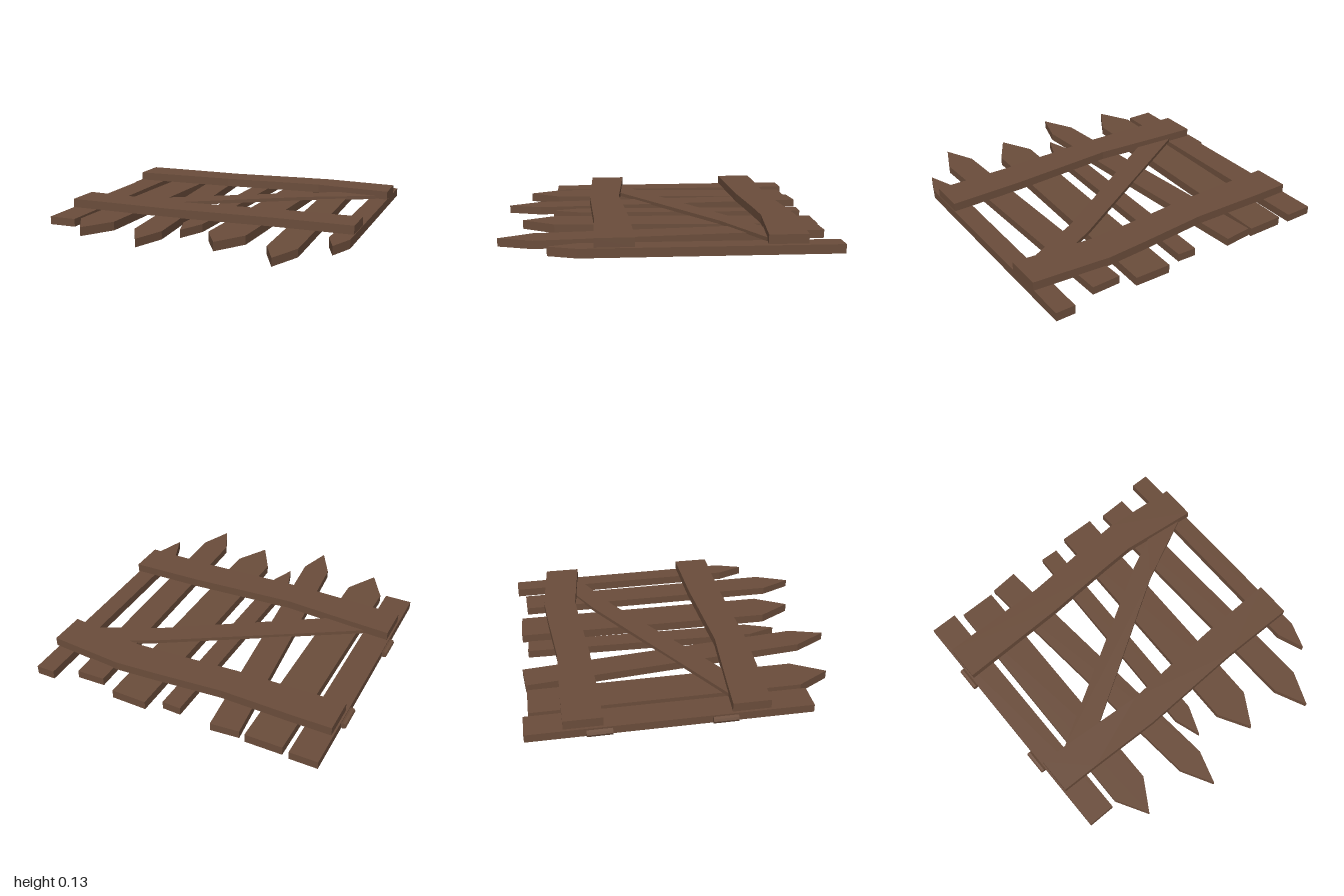
import * as THREE from 'three';

const wood = new THREE.MeshStandardMaterial({ color: 0x6b4d3b });
wood.name = 'brown wood';

// Board cut from a plan outline of [x, z] points; its underside runs from
// height backY at z = -1 to frontY at z = 1.
function board(name, outline, thickness, backY, frontY = backY) {
  const shape = new THREE.Shape(outline.map(([x, z]) => new THREE.Vector2(x, z)));
  const geo = new THREE.ExtrudeGeometry(shape, { depth: thickness, bevelEnabled: false });
  geo.rotateX(Math.PI / 2);
  const p = geo.attributes.position;
  for (let i = 0; i < p.count; i++) {
    const t = (p.getZ(i) + 1) / 2;
    p.setY(i, p.getY(i) + thickness + backY + (frontY - backY) * t);
  }
  geo.computeVertexNormals();
  const mesh = new THREE.Mesh(geo, wood);
  mesh.name = name;
  return mesh;
}

export function createModel() {
  const gate = new THREE.Group();
  gate.name = 'woodenGate';

  // Square-ended board on the hinge side
  gate.add(board('hingeBoard', [[-0.93, -1], [-0.755, -1], [-0.755, 0.69], [-0.93, 0.69]], 0.05, 0.02));

  // Pointed pickets: outline, thickness, back height, front height
  const pickets = [
    [[[-0.705, -0.97], [-0.47, -0.97], [-0.485, 0.67], [-0.605, 0.87], [-0.72, 0.67]], 0.055, 0, 0.022],
    [[[-0.44, -0.975], [-0.26, -0.99], [-0.105, 0.78], [-0.17, 0.99], [-0.28, 0.79]], 0.05, 0.02, 0.03],
    [[[-0.04, -0.95], [0.08, -0.945], [0.04, 0.51], [-0.03, 0.69], [-0.085, 0.52]], 0.05, 0.015, 0.022],
    [[[0.18, -0.985], [0.41, -0.98], [0.38, 0.67], [0.26, 0.87], [0.145, 0.67]], 0.055, 0, 0.022],
    [[[0.5, -0.94], [0.68, -0.945], [0.73, 0.78], [0.645, 0.99], [0.55, 0.79]], 0.05, 0.033, 0.01],
    [[[0.83, -1], [0.95, -1], [0.96, 0.52], [0.9, 0.69], [0.835, 0.52]], 0.055, 0.008, 0.018],
  ];
  pickets.forEach(([outline, thick, back, front], i) =>
    gate.add(board(`picket${i + 1}`, outline, thick, back, front)));

  // Slightly bent cross rails
  gate.add(board('backRail', [
    [-0.92, -0.78], [-0.68, -0.78], [-0.22, -0.77], [0.23, -0.805], [0.48, -0.82], [0.96, -0.78],
    [0.96, -0.55], [0.46, -0.605], [0.23, -0.595], [-0.22, -0.565], [-0.92, -0.55],
  ], 0.055, 0.075));
  gate.add(board('frontRail', [
    [-0.92, 0.2], [-0.68, 0.215], [-0.2, 0.25], [0.48, 0.21], [0.96, 0.2],
    [0.96, 0.43], [0.48, 0.425], [-0.22, 0.45], [-0.68, 0.435], [-0.92, 0.43],
  ], 0.055, 0.075));

  // Diagonal brace between the rails
  gate.add(board('diagonalBrace', [
    [-0.76, 0.21], [0.4, -0.48], [0.62, -0.588], [0.88, -0.56], [0.44, -0.35], [-0.49, 0.23],
  ], 0.023, 0.07));

  // Hinge barrels
  for (const z of [-0.575, 0.155]) {
    const geo = new THREE.CylinderGeometry(0.021, 0.021, 0.15, 8).rotateX(Math.PI / 2).toNonIndexed();
    geo.computeVertexNormals();
    const hinge = new THREE.Mesh(geo, wood);
    hinge.name = z < 0 ? 'backHinge' : 'frontHinge';
    hinge.position.set(-0.942, 0.047, z);
    gate.add(hinge);
  }
  return gate;
}
